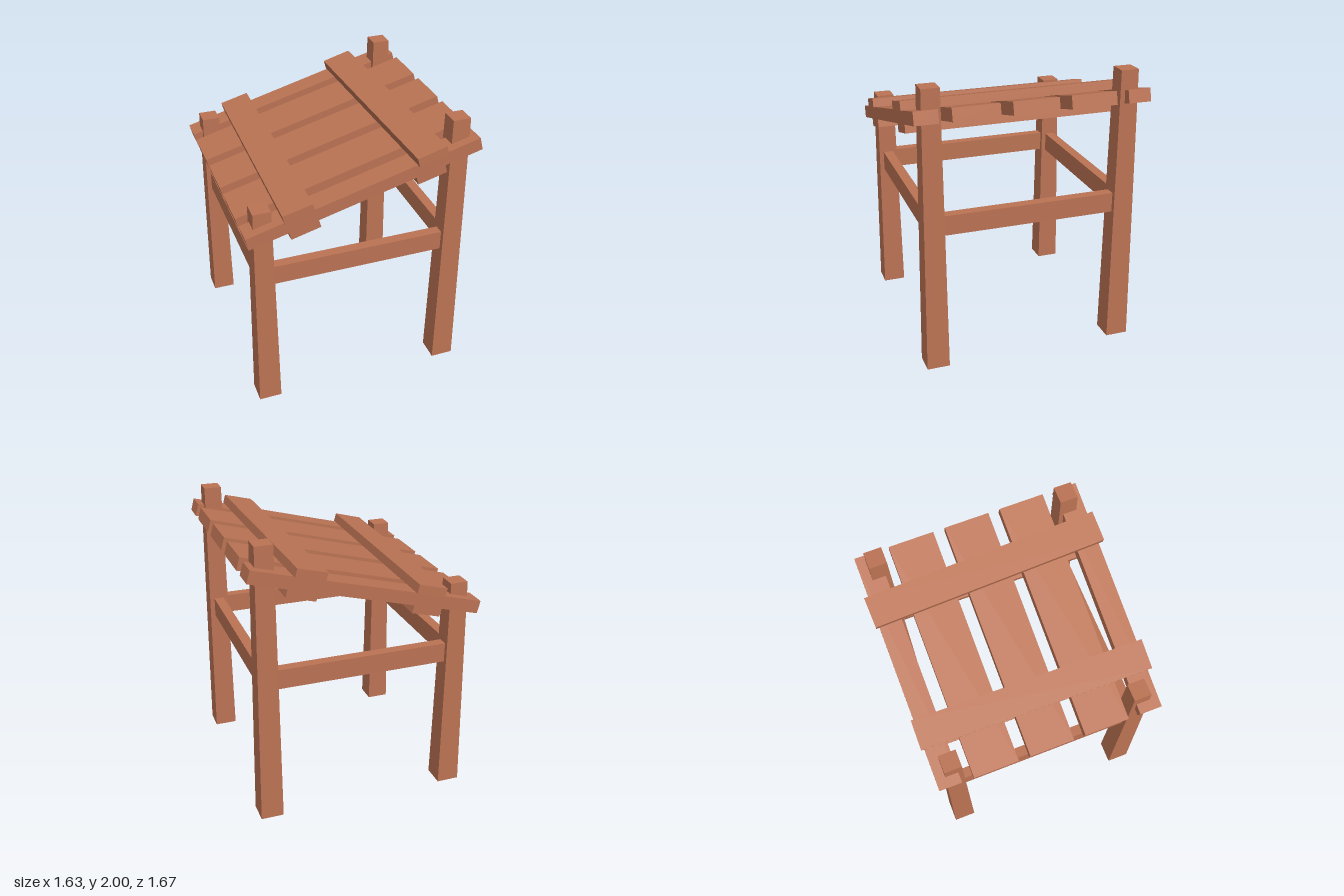
import * as THREE from 'three';

export function createModel() {
  const group = new THREE.Group();
  const wood = new THREE.MeshStandardMaterial({ color: 0xbb7354 });
  wood.name = 'reddish wood';

  const beam = (parent, name, size, pos, yaw = 0) => {
    const mesh = new THREE.Mesh(new THREE.BoxGeometry(...size), wood);
    mesh.name = name;
    mesh.position.set(...pos);
    mesh.rotation.y = yaw;
    parent.add(mesh);
    return mesh;
  };

  // Tapered square posts: tall on the left, short on the right
  const postX = 0.68;
  for (const sx of [-1, 1]) {
    const height = sx > 0 ? 2 : 1.575;
    for (const sz of [-1, 1]) {
      const name = (sz > 0 ? 'front' : 'back') + (sx > 0 ? 'Left' : 'Right') + 'Post';
      const post = beam(group, name, [0.16, height, 0.16], [sx * postX, height / 2, sz * postX]);
      const p = post.geometry.attributes.position;
      for (let i = 0; i < p.count; i++) {
        if (p.getY(i) > 0) {
          p.setX(i, p.getX(i) * 0.775);
          p.setZ(i, p.getZ(i) * 0.775);
        }
      }
      post.geometry.computeVertexNormals();
    }
  }

  // Horizontal rails joining the posts
  for (const s of [-1, 1]) {
    beam(group, s > 0 ? 'frontRail' : 'backRail', [1.25, 0.14, 0.072], [0, 1.05, s * postX]);
    beam(group, s > 0 ? 'leftRail' : 'rightRail', [0.072, 0.14, 1.25], [s * postX, 1.05, 0]);
  }

  // Sloping roof deck
  const roof = new THREE.Group();
  roof.name = 'roof';
  roof.position.set(0, 1.62, 0);
  roof.rotation.z = THREE.MathUtils.degToRad(15);
  group.add(roof);

  // Planks: narrow at both edges, wide between
  [[-0.73, 0.16], [-0.405, 0.32], [-0.002, 0.318], [0.4, 0.32], [0.727, 0.16]].forEach(([z, width], i) =>
    beam(roof, 'roofPlank' + (i + 1), [1.66, 0.09, width], [0, 0, z]));

  // Battens under the planks and slightly skewed boards on top
  for (const x of [-0.45, 0.454]) {
    beam(roof, 'underBatten', [0.21, 0.058, 1.61], [x, -0.074, 0]);
  }
  beam(roof, 'lowerTopBoard', [0.21, 0.062, 1.655], [-0.445, 0.076, -0.002], -0.0155);
  beam(roof, 'upperTopBoard', [0.212, 0.062, 1.668], [0.46, 0.076, -0.002], 0.028);

  return group;
}
